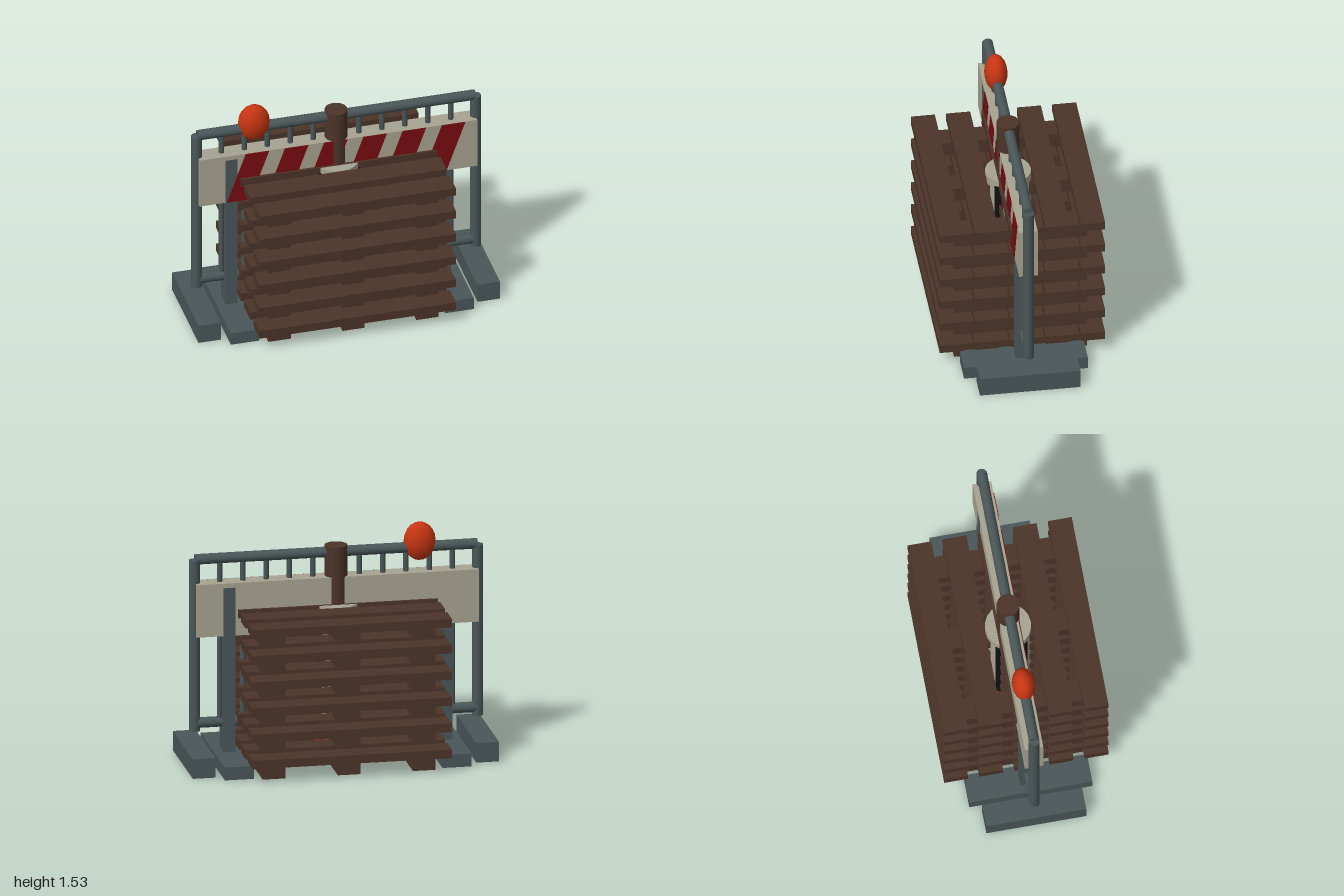
import * as THREE from 'three';

const mat = (name, color) => Object.assign(new THREE.MeshStandardMaterial({ color }), { name });

export function createModel() {
  const root = new THREE.Group();
  root.name = 'roadworksSet';
  const wood = mat('dark wood', 0x4c3429);
  const steel = mat('grey steel', 0x4a5658);
  const cream = mat('cream', 0xa8a391);
  const red = mat('dark red', 0x780c10);
  const orange = mat('orange', 0xc63512);
  const black = mat('black', 0x101010);
  const openBlack = mat('black strip', 0x101010);
  openBlack.side = THREE.DoubleSide;

  const group = (name) => {
    const g = new THREE.Group();
    g.name = name;
    root.add(g);
    return g;
  };
  const add = (parent, name, geo, material, x, y, z) => {
    const m = new THREE.Mesh(geo, material);
    m.name = name;
    m.position.set(x, y, z);
    parent.add(m);
    return m;
  };
  const box = (p, name, m, w, h, d, x, y, z) => add(p, name, new THREE.BoxGeometry(w, h, d), m, x, y, z);
  const rod = (p, name, m, r, len, x, y, z, sides = 14) =>
    add(p, name, new THREE.CylinderGeometry(r, r, len, sides), m, x, y, z);

  // Stack of six pallets
  const stack = group('palletStack');
  for (let i = 0; i < 6; i++) {
    const y = i * 0.1745;
    for (const x of [-0.49, 0, 0.49]) box(stack, 'palletBearer', wood, 0.148, 0.097, 0.86, x, y + 0.0485, 0);
    for (let k = -2; k <= 2; k++) box(stack, 'palletPlank', wood, 1.3, 0.056, 0.155, 0, y + 0.132, k * 0.2285);
  }

  // Tubular fence on two block feet
  const fence = group('fence');
  rod(fence, 'topRail', steel, 0.034, 1.84, 0, 1.366, 0).rotation.z = Math.PI / 2;
  rod(fence, 'bottomRail', steel, 0.034, 1.84, 0, 0.275, 0).rotation.z = Math.PI / 2;
  for (let i = -5; i <= 5; i++) rod(fence, 'fenceBar', steel, 0.018, 1.08, i * 0.152, 0.82, 0, 8);
  for (const s of [-1, 1]) {
    rod(fence, 'fencePost', steel, 0.036, 1.14, s * 0.924, 0.793, 0);
    box(fence, 'fenceFoot', steel, 0.148, 0.13, 0.65, s * 0.925, 0.065, 0);
  }

  // Striped barrier board with its own posts and feet
  const barrier = group('barrier');
  box(barrier, 'barrierBoard', cream, 1.84, 0.35, 0.12, 0, 1.035, 0);
  for (const s of [-1, 1]) {
    box(barrier, 'barrierPost', steel, 0.078, 1.1, 0.12, s * 0.708, 0.63, -s * 0.0015);
    box(barrier, 'barrierFoot', steel, 0.19, 0.085, 0.8, s * 0.71, 0.0425, 0);
  }
  for (let i = 0; i < 6; i++) {
    const x = -0.74 + i * 0.26;
    const stripe = new THREE.Shape([[0, 0], [0.155, 0], [0.28, 0.348], [0.125, 0.348]].map(p => new THREE.Vector2(...p)));
    const geo = new THREE.ExtrudeGeometry(stripe, { depth: 0.005, bevelEnabled: false });
    add(barrier, 'redStripe', geo, red, x, 0.861, 0.0595);
  }

  // Warning lamp above the fence
  const lamp = add(root, 'warningLamp', new THREE.SphereGeometry(1, 14, 10), orange, -0.545, 1.405, 0);
  lamp.scale.set(0.105, 0.127, 0.075);

  // Drum marker: base, flared skirt, body with dark side strips
  const drum = group('drumMarker');
  box(drum, 'drumBase', black, 0.48, 0.075, 0.3, 0, 0.0385, 0);
  add(drum, 'drumSkirt', new THREE.CylinderGeometry(0.13, 0.2, 0.19, 12), orange, 0, 0.168, 0);
  rod(drum, 'drumBody', cream, 0.148, 1.03, 0, 0.516, 0, 20);
  for (const s of [-1, 1]) {
    const arc = new THREE.CylinderGeometry(0.156, 0.156, 0.92, 8, 1, true, s * Math.PI / 2 - 0.73, 1.46);
    add(drum, 'drumSideStrip', arc, openBlack, 0, 0.54, 0);
    add(drum, 'drumHandle', new THREE.TorusGeometry(0.05, 0.009, 8, 18), black, s * 0.19, 0.797, 0.062);
  }

  // Plain panel under the board, and the central wooden post
  box(root, 'lowerPanel', cream, 0.81, 0.26, 0.09, 0, 0.738, 0);
  rod(root, 'centrePost', wood, 0.074, 1.41, 0, 0.706, 0, 18);
  return root;
}
